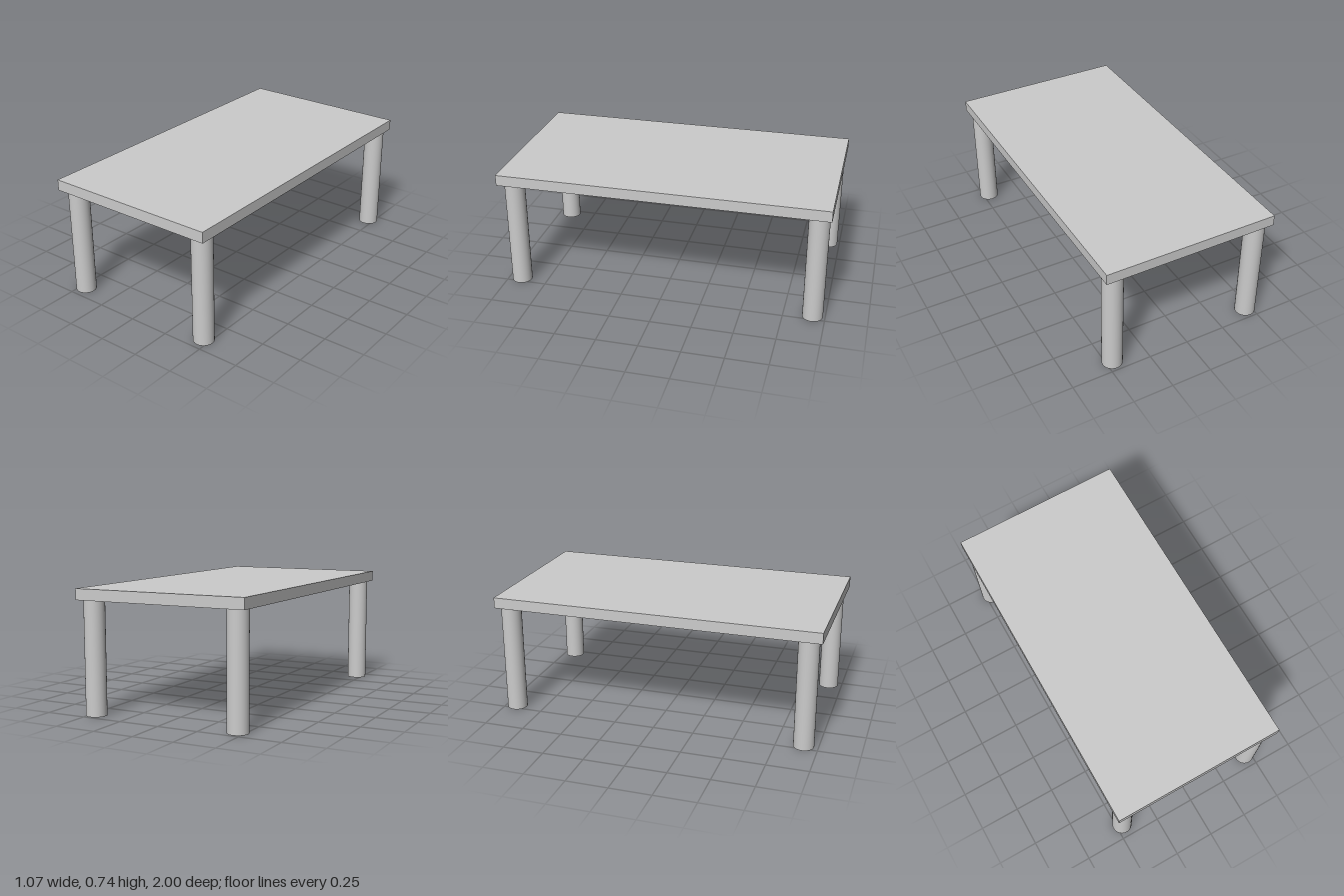
import * as THREE from 'three';

export function createModel() {
  const group = new THREE.Group();
  const material = new THREE.MeshStandardMaterial({ color: 0xcccccc });
  const height = 0.74, thickness = 0.066;
  const legHeight = height - thickness;

  // Flat rectangular slab
  const top = new THREE.Mesh(new THREE.BoxGeometry(1.072, thickness, 2), material);
  top.name = 'tableTop';
  top.position.y = height - thickness / 2;
  group.add(top);

  // Four round legs, the front pair set slightly further in than the back pair
  const legGeometry = new THREE.CylinderGeometry(0.0615, 0.0615, legHeight, 48);
  for (const [end, z] of [['front', 0.913], ['back', -0.925]]) {
    for (const [side, x] of [['Left', 0.461], ['Right', -0.461]]) {
      const leg = new THREE.Mesh(legGeometry, material);
      leg.name = `${end}${side}Leg`;
      leg.position.set(x, legHeight / 2, z);
      group.add(leg);
    }
  }

  return group;
}
